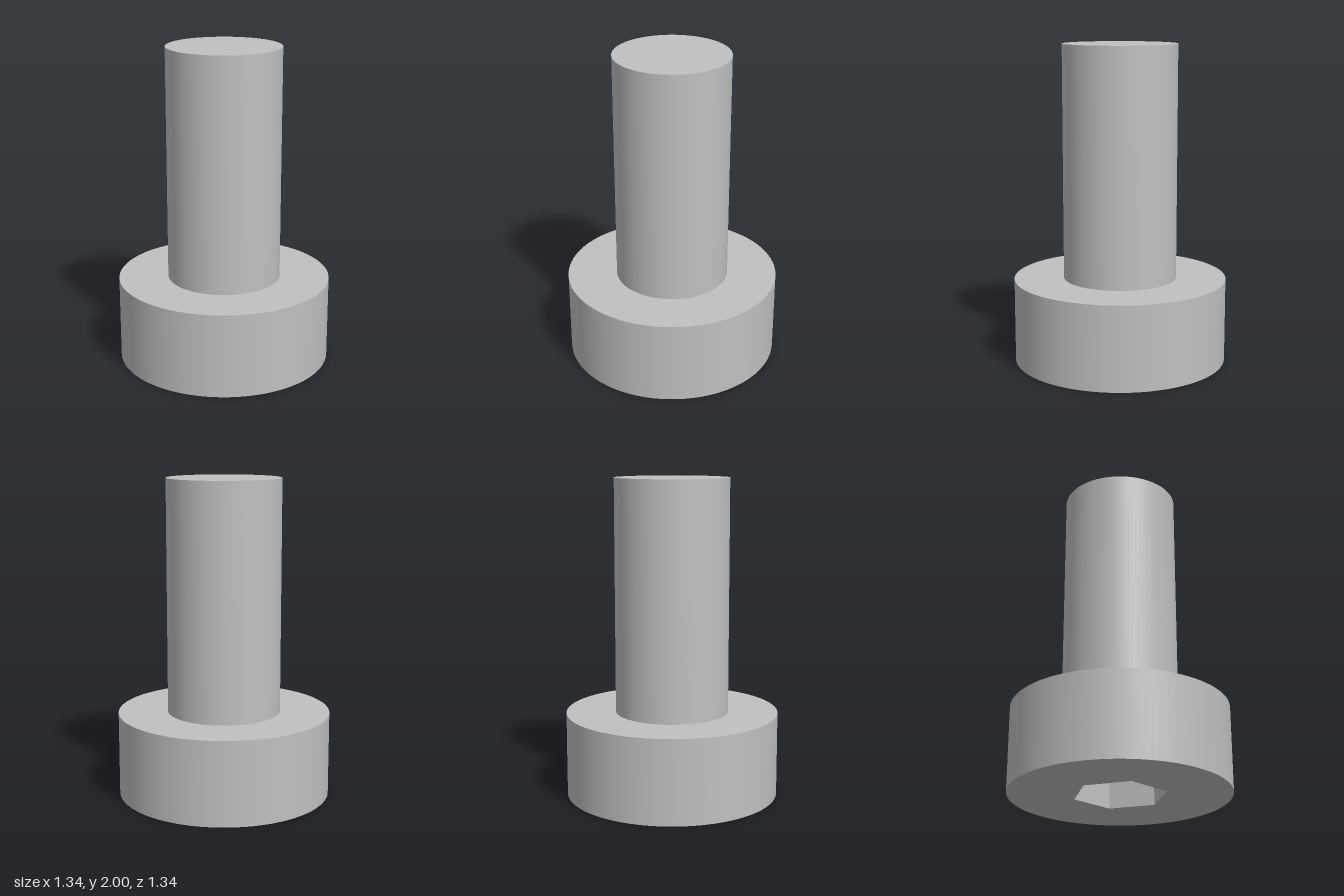
import * as THREE from 'three';

const HEAD_R = 0.67, HEAD_H = 0.53, SHANK_R = 0.357, TOP = 2;
const HEX_R = 0.286, HEX_DEPTH = 0.36, SEGMENTS = 96;

export function createModel() {
  const group = new THREE.Group();
  group.name = 'socketHeadScrew';
  const steel = new THREE.MeshStandardMaterial({ color: 0xc0c0c0 });
  steel.name = 'steel grey';

  const add = (name, geometry, y) => {
    const mesh = new THREE.Mesh(geometry, steel);
    mesh.name = name;
    mesh.position.y = y;
    group.add(mesh);
  };
  const wall = (r, h) => new THREE.CylinderGeometry(r, r, h, SEGMENTS, 1, true);

  // Shank with its flat end
  add('shank', wall(SHANK_R, TOP - HEAD_H), (TOP + HEAD_H) / 2);
  add('shankEnd', new THREE.CircleGeometry(SHANK_R, SEGMENTS).rotateX(-Math.PI / 2), TOP);

  // Head side and shoulder
  add('headSide', wall(HEAD_R, HEAD_H), HEAD_H / 2);
  add('headShoulder', new THREE.RingGeometry(SHANK_R, HEAD_R, SEGMENTS).rotateX(-Math.PI / 2), HEAD_H);

  // Head face pierced by the hexagonal socket
  const face = new THREE.Shape().absarc(0, 0, HEAD_R, 0, Math.PI * 2, false);
  const hexagon = [];
  for (let i = 0; i < 6; i++) {
    const a = (i * Math.PI) / 3;
    hexagon.push(new THREE.Vector2(HEX_R * Math.sin(a), HEX_R * Math.cos(a)));
  }
  face.holes.push(new THREE.Path(hexagon));
  add('headFace', new THREE.ShapeGeometry(face, SEGMENTS).rotateX(Math.PI / 2), 0);

  // Socket walls, turned to face inward, and floor
  const socket = new THREE.CylinderGeometry(HEX_R, HEX_R, HEX_DEPTH, 6, 1, true);
  socket.index.array.reverse();
  const socketWalls = socket.toNonIndexed();
  socketWalls.computeVertexNormals();
  add('socketWalls', socketWalls, HEX_DEPTH / 2);
  add('socketFloor', new THREE.CircleGeometry(HEX_R, 6, Math.PI / 2).rotateX(Math.PI / 2), HEX_DEPTH);

  return group;
}
